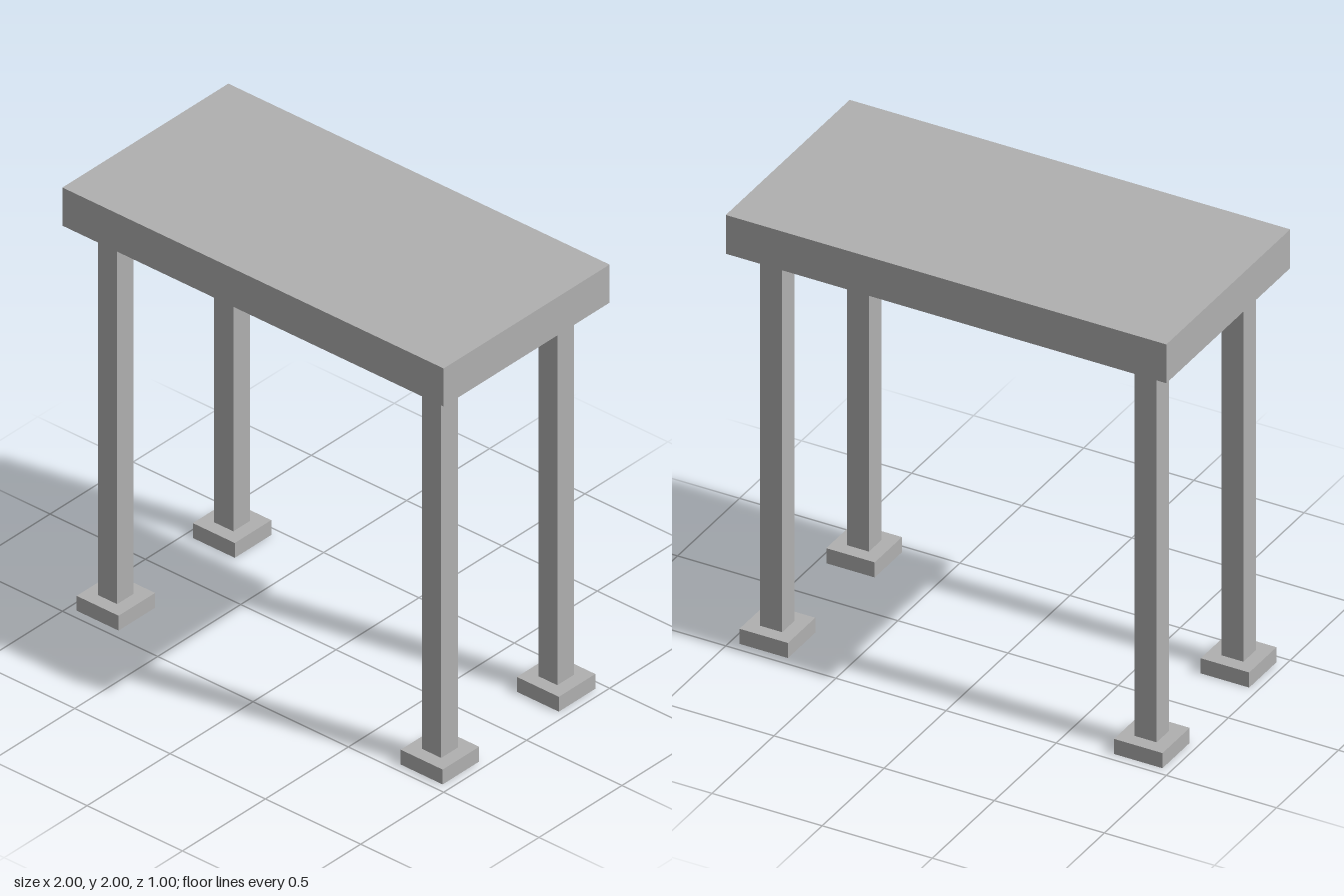
import * as THREE from 'three';

export function createModel() {
  const model = new THREE.Group();
  const grey = new THREE.MeshStandardMaterial({ color: 0xb0b0b0 });
  grey.name = 'grey';

  const add = (name, geometry, x, y, z) => {
    const mesh = new THREE.Mesh(geometry, grey);
    mesh.name = name;
    mesh.position.set(x, y, z);
    model.add(mesh);
    return mesh;
  };

  // Table top: a panel over a deep rim, hollow underneath
  const top = 2, underside = 1.82, ceiling = 1.94;
  add('topPanel', new THREE.BoxGeometry(2, top - ceiling, 1), 0, (top + ceiling) / 2, 0);

  const rectangle = (path, w, d) => path
    .moveTo(-w / 2, -d / 2).lineTo(w / 2, -d / 2)
    .lineTo(w / 2, d / 2).lineTo(-w / 2, d / 2).closePath();
  const outline = new THREE.Shape();
  rectangle(outline, 2, 1);
  const opening = new THREE.Path();
  rectangle(opening, 1.8, 0.8);
  outline.holes.push(opening);
  const rim = new THREE.ExtrudeGeometry(outline, { depth: ceiling - underside, bevelEnabled: false });
  rim.rotateX(-Math.PI / 2);
  add('topRim', rim, 0, underside, 0);

  // Four square legs, each on a wider foot
  const footHeight = 0.07;
  const legHeight = underside - footHeight;
  const legGeometry = new THREE.BoxGeometry(0.1, legHeight, 0.1);
  const footGeometry = new THREE.BoxGeometry(0.22, footHeight, 0.22);
  for (const [side, x] of [['Left', 0.85], ['Right', -0.85]]) {
    for (const [end, z] of [['front', 0.35], ['back', -0.35]]) {
      add(`${end}${side}Leg`, legGeometry, x, footHeight + legHeight / 2, z);
      add(`${end}${side}Foot`, footGeometry, x, footHeight / 2, z);
    }
  }
  return model;
}
